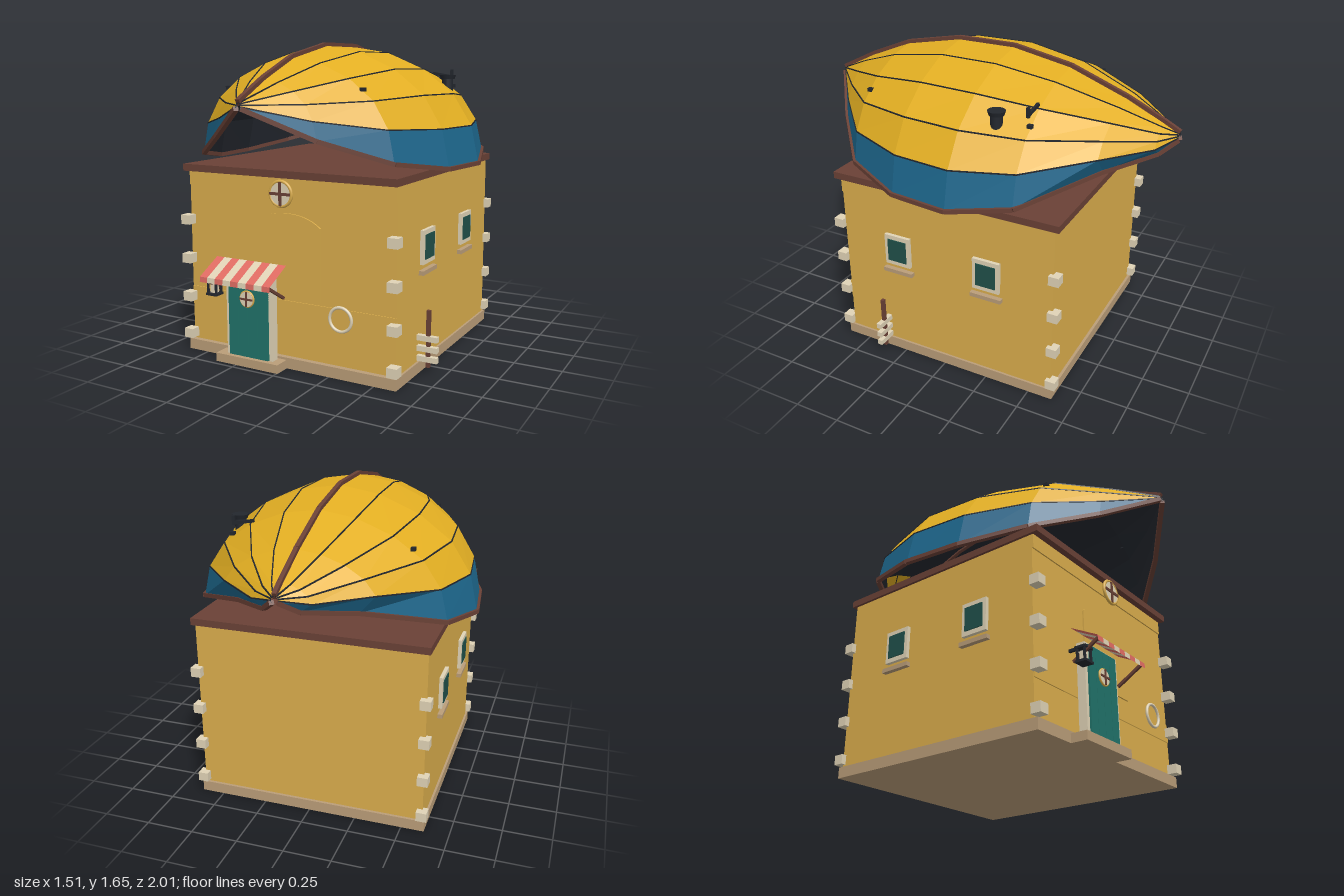
import * as THREE from 'three';

const mat = (name, color) => {
  const m = new THREE.MeshStandardMaterial({ color });
  m.name = name;
  return m;
};

export function createModel() {
  const model = new THREE.Group();
  model.name = 'boatRoofHouse';
  const yellow = mat('hullYellow', 0xe2ae22), wallM = mat('wallOchre', 0xdaad4c);
  const brown = mat('darkWood', 0x6a4136), cream = mat('cream', 0xe0d3b6);
  const tan = mat('plinthStone', 0xba9d78), teal = mat('doorTeal', 0x20736a);
  const blue = mat('hullBlue', 0x1d668b), red = mat('awningRed', 0xdf6b62);
  const glass = mat('windowGlass', 0x20504a), black = mat('blackIron', 0x23272e);
  // open cloth and the open stern of the hull
  for (const m of [red, cream, yellow, blue]) m.side = THREE.DoubleSide;

  const add = (name, geo, m, x = 0, y = 0, z = 0) => {
    const mesh = new THREE.Mesh(geo, m);
    mesh.name = name;
    mesh.position.set(x, y, z);
    model.add(mesh);
    return mesh;
  };
  // box from min and max corners
  const box = (name, m, x0, x1, y0, y1, z0, z1) =>
    add(name, new THREE.BoxGeometry(x1 - x0, y1 - y0, z1 - z0), m, (x0 + x1) / 2, (y0 + y1) / 2, (z0 + z1) / 2);
  // straight bar between two points
  const beam = (name, m, a, b, w, h) => {
    const mesh = add(name, new THREE.BoxGeometry(w, h, a.distanceTo(b)), m);
    mesh.position.copy(a).lerp(b, 0.5);
    mesh.lookAt(b);
  };
  const V = (x, y, z) => new THREE.Vector3(x, y, z);

  // House body
  box('walls', wallM, -0.608, 0.608, 0.02, 0.985, -0.618, 0.605);
  box('plinth', tan, -0.62, 0.62, 0, 0.057, -0.633, 0.633);
  box('roofSlab', brown, -0.622, 0.622, 0.98, 1.017, -0.642, 0.645);
  box('frontBandTop', wallM, -0.607, 0.607, 0.905, 0.98, 0.6, 0.612);
  box('frontBandLow', wallM, -0.607, 0.607, 0.25, 0.35, 0.6, 0.61);
  for (const x of [-0.607, 0.607]) for (const z of [-0.627, 0.632]) for (const y of [0.095, 0.3, 0.51, 0.72])
    add('cornerStone', new THREE.BoxGeometry(0.055, 0.05, 0.055), cream, x, y, z);

  // Shallow arched panel on the front
  const arch = new THREE.Shape([[-0.195, 0.37], [0.195, 0.37], [0.195, 0.74]].map(p => new THREE.Vector2(...p)));
  arch.quadraticCurveTo(0.12, 0.8, 0, 0.8);
  arch.quadraticCurveTo(-0.12, 0.8, -0.195, 0.74);
  add('archPanel', new THREE.ExtrudeGeometry(arch, { depth: 0.009, bevelEnabled: false }), wallM, 0, 0, 0.604);

  // Round windows with crossed bars
  const porthole = (name, x, y, z, r) => {
    add(name + 'Pane', new THREE.CylinderGeometry(r * 0.88, r * 0.88, 0.012, 24).rotateX(Math.PI / 2), cream, x, y, z);
    add(name + 'Rim', new THREE.TorusGeometry(r * 0.89, r * 0.12, 8, 28), wallM, x, y, z);
    const w = r * 0.85, t = r * 0.1;
    box(name + 'Bar', brown, x - w, x + w, y - t, y + t, z, z + 0.012);
    box(name + 'Bar', brown, x - t, x + t, y - w, y + w, z, z + 0.012);
  };
  porthole('gableWindow', 0, 0.905, 0.66, 0.07);

  // Door, frame and step
  box('doorStep', tan, -0.375, 0.005, 0, 0.045, 0.6, 0.72);
  for (const x of [-0.322, -0.063]) box('doorJamb', cream, x, x + 0.022, 0.045, 0.47, 0.645, 0.69);
  box('doorLintel', cream, -0.322, -0.041, 0.47, 0.5, 0.645, 0.69);
  for (let i = 0; i < 4; i++) {
    const x = -0.302 + i * 0.06;
    box('doorPlank', teal, x, x + 0.058, 0.047, 0.49, 0.67, 0.7);
  }
  box('doorBack', teal, -0.302, -0.062, 0.047, 0.48, 0.665, 0.69);
  porthole('doorWindow', -0.183, 0.357, 0.704, 0.045);

  // Striped awning with valance and braces
  for (let i = 0; i < 9; i++) {
    const w = 0.425 / 9, x = -0.396 + i * w, m = i % 2 ? cream : red;
    const g = new THREE.PlaneGeometry(w, 1, 1, 2), p = g.attributes.position;
    [[0.548, 0.665], [0.472, 0.81], [0.445, 0.812]].forEach(([y, z], r) => {
      for (const k of [0, 1]) p.setXYZ(r * 2 + k, x + k * w, y, z);
    });
    const flat = g.toNonIndexed();
    flat.computeVertexNormals();
    add('awningStripe', flat, m);
  }
  for (const x of [-0.38, 0.012]) beam('awningBrace', brown, V(x, 0.38, 0.665), V(x, 0.465, 0.805), 0.014, 0.014);

  // Lantern
  for (const y of [0.365, 0.435]) box('lanternPlate', black, -0.408, -0.342, y - 0.006, y + 0.006, 0.69, 0.75);
  for (const x of [-0.4, -0.35]) for (const z of [0.7, 0.74])
    box('lanternPost', black, x - 0.005, x + 0.005, 0.365, 0.435, z - 0.005, z + 0.005);
  box('lanternLight', cream, -0.39, -0.36, 0.37, 0.42, 0.705, 0.735);
  box('lanternArm', black, -0.382, -0.368, 0.435, 0.449, 0.64, 0.73);

  // Ring hung on the front wall
  add('lifeRing', new THREE.TorusGeometry(0.06, 0.008, 8, 28), cream, 0.34, 0.32, 0.67);

  // Side windows on both walls
  for (const s of [-1, 1]) for (const z of [0.267, -0.257]) {
    const part = (name, m, h, w, d, y) =>
      add(name, new THREE.BoxGeometry(d, h, w), m, s * (0.6 + d / 2), y, z);
    part('windowGlass', glass, 0.125, 0.11, 0.032, 0.638);
    for (const y of [0.563, 0.713]) part('windowRail', cream, 0.024, 0.15, 0.027, y);
    for (const k of [-1, 1]) part('windowStile', cream, 0.13, 0.02, 0.027, 0.638).position.z += k * 0.065;
    part('windowSill', tan, 0.022, 0.175, 0.034, 0.512);
  }

  // Small signpost beside the house
  box('signPost', brown, 0.656, 0.675, 0.035, 0.33, 0.345, 0.364);
  for (const y of [0.185, 0.13, 0.078]) box('signBoard', cream, 0.605, 0.717, y - 0.014, y + 0.014, 0.343, 0.37);

  // Upturned hull: stations as [z, half breadth, gunwale half breadth, gunwale y, ridge y]
  const stations = [
    [0.995, 0.012, 0.012, 1.335, 1.362], [0.79, 0.28, 0.285, 1.185, 1.465], [0.545, 0.56, 0.56, 1.07, 1.565],
    [0.22, 0.705, 0.705, 1.022, 1.63], [-0.1, 0.742, 0.742, 1.022, 1.63], [-0.415, 0.65, 0.65, 1.065, 1.57],
    [-0.72, 0.4, 0.3, 1.18, 1.455], [-0.92, 0.155, 0.085, 1.23, 1.36], [-0.995, 0.02, 0.015, 1.29, 1.32],
  ];
  const section = [[1, 0], [0.942, 0.32], [0.8, 0.59], [0.57, 0.8], [0.285, 0.945], [0, 1]];
  const ring = [...section, ...section.slice(0, 5).reverse().map(([x, y]) => [-x, y])];
  const pt = (i, j) => {
    const [z, b, gb, g, r] = stations[i];
    return V(ring[j][0] * (j % 10 ? b : gb), g + ring[j][1] * (r - g), z);
  };
  const shell = (name, m, strakes, bays, inside) => {
    const pts = [];
    for (const j of strakes) for (let i = 0; i < bays; i++) {
      const a = pt(i, j), b = pt(i, j + 1), c = pt(i + 1, j + 1), d = pt(i + 1, j);
      pts.push(...(inside ? [a, c, d, a, b, c] : [a, d, c, a, c, b]));
    }
    const g = new THREE.BufferGeometry().setFromPoints(pts);
    if (inside) g.scale(0.99, 1, 1).translate(0, -0.006, 0);
    g.computeVertexNormals();
    add(name, g, m);
  };
  shell('hullPlanking', yellow, [1, 2, 3, 4, 5, 6, 7, 8], 8);
  shell('hullTopStrake', blue, [0, 9], 8);
  shell('hullLining', black, [0, 1, 2, 3, 4, 5, 6, 7, 8, 9], 6, true);

  // Seams, gunwales and keel follow the hull lines
  for (let i = 0; i < stations.length - 1; i++) {
    for (const j of [1, 2, 3, 4, 6, 7, 8, 9]) beam('plankSeam', black, pt(i, j), pt(i + 1, j), 0.006, 0.006);
    for (const j of [0, 10]) beam('gunwale', brown, pt(i, j), pt(i + 1, j), 0.024, 0.022);
    beam('keel', brown, pt(i, 5), pt(i + 1, 5), 0.022, 0.035);
  }

  // Stove pipe, cleats and rail on the hull
  add('stovePipe', new THREE.CylinderGeometry(0.03, 0.03, 0.1, 16), black, 0.5, 1.41, -0.255);
  add('stovePipeCap', new THREE.CylinderGeometry(0.045, 0.038, 0.022, 16), black, 0.5, 1.466, -0.255);
  for (const [x, z] of [[0.39, 0.54], [-0.39, 0.54], [0.47, -0.415], [-0.47, -0.415]])
    add('cleat', new THREE.BoxGeometry(0.022, 0.018, 0.026), black, x, 1.415, z);
  beam('hullRail', black, V(0.355, 1.485, -0.402), V(0.475, 1.465, -0.402), 0.014, 0.016);
  box('hullRailPost', black, 0.46, 0.475, 1.455, 1.505, -0.41, -0.395);

  return model;
}
